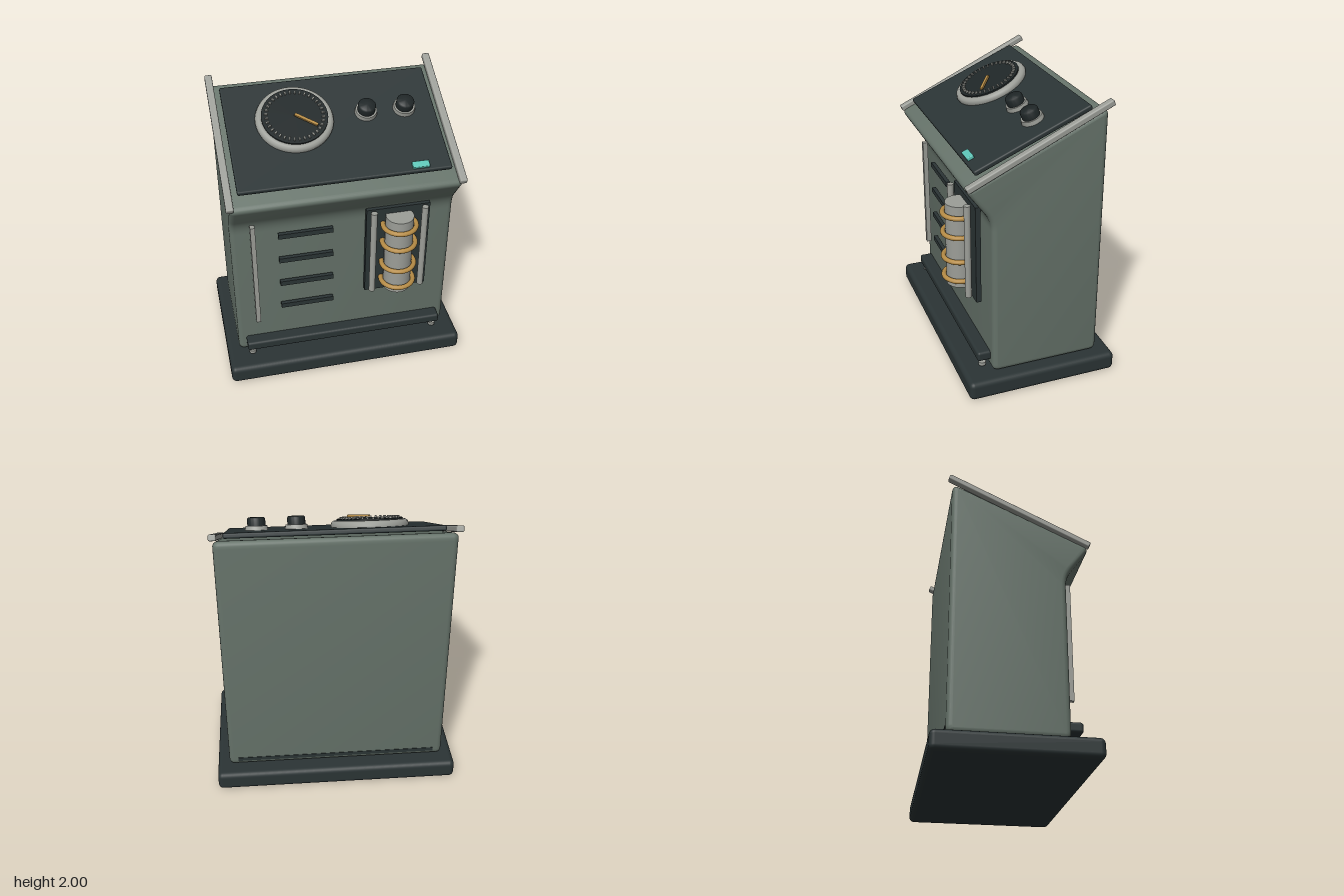
import * as THREE from 'three';
import { toCreasedNormals } from 'three/addons/utils/BufferGeometryUtils.js';
import { RoundedBoxGeometry } from 'three/addons/geometries/RoundedBoxGeometry.js';

const paint = (name, color) => {
  const m = new THREE.MeshStandardMaterial({ color });
  m.name = name;
  return m;
};

// Closed shape from corners [x, y, radius], each corner rounded
function roundedShape(corners) {
  const shape = new THREE.Shape();
  const n = corners.length;
  corners.forEach(([x, y, r], i) => {
    const c = new THREE.Vector2(x, y);
    const toward = (k) => {
      const q = new THREE.Vector2(corners[k][0], corners[k][1]);
      return c.clone().add(q.sub(c).setLength(r));
    };
    const a = toward((i + n - 1) % n);
    const b = toward((i + 1) % n);
    if (i === 0) shape.moveTo(a.x, a.y);
    else shape.lineTo(a.x, a.y);
    shape.quadraticCurveTo(x, y, b.x, b.y);
  });
  shape.closePath();
  return shape;
}

export function createModel() {
  const model = new THREE.Group();
  model.name = 'controlConsole';

  const body = paint('greyGreen', 0x66736a);
  const dark = paint('darkSlate', 0x2b3435);
  const black = paint('nearBlack', 0x1f2627);
  const metal = paint('metal', 0x9c9e98);
  const brass = paint('brass', 0xb58b45);
  const teal = paint('teal', 0x5cc4b6);

  const add = (parent, name, geometry, material, x, y, z) => {
    const mesh = new THREE.Mesh(geometry, material);
    mesh.name = name;
    mesh.position.set(x, y, z);
    parent.add(mesh);
    return mesh;
  };
  const box = (w, h, d, r = 0) =>
    r ? new RoundedBoxGeometry(w, h, d, 3, r) : new THREE.BoxGeometry(w, h, d);
  const cyl = (r, h, top = r) => new THREE.CylinderGeometry(top, r, h, 40);

  // Plinth
  add(model, 'base', box(1.72, 0.135, 1.065, 0.035), dark, 0, 0.0675, -0.0125);

  // Cabinet: side profile (z, y) extruded across the width
  const profile = roundedShape([
    [-0.44, 0.138, 0.05], [0.33, 0.138, 0.05], [0.33, 1.28, 0.07],
    [0.5, 1.515, 0.045], [-0.44, 1.945, 0.06],
  ]);
  const bevel = 0.035;
  const cabinet = new THREE.ExtrudeGeometry(profile, {
    depth: 1.55 - 2 * bevel, curveSegments: 6, bevelEnabled: true,
    bevelSize: bevel, bevelThickness: bevel, bevelOffset: -bevel, bevelSegments: 4,
  });
  cabinet.translate(0, 0, -(1.55 - 2 * bevel) / 2);
  cabinet.rotateY(-Math.PI / 2);
  add(model, 'cabinet', toCreasedNormals(cabinet, 0.7), body, 0, 0, 0);

  // Side rails of the sloping top
  for (const s of [-1, 1]) {
    const rail = add(model, 'topRail', box(0.05, 0.041, 1.063, 0.01), metal, s * 0.77, 1.755, 0.0175);
    rail.rotation.x = 0.44;
  }

  // Sloping control panel; local y points out of the panel
  const panel = new THREE.Group();
  panel.name = 'controlPanel';
  panel.position.set(0, 1.768, 0.035);
  panel.rotation.x = 0.41;
  model.add(panel);
  add(panel, 'panelPlate', box(1.42, 0.035, 0.846, 0.012), dark, 0, 0, 0);

  // Dial with bezel, tick marks and needle
  const dial = new THREE.Group();
  dial.name = 'dial';
  dial.position.set(-0.255, 0, -0.085);
  panel.add(dial);
  const bezel = [
    [0.21, 0.015], [0.258, 0.015], [0.262, 0.03], [0.255, 0.05],
    [0.24, 0.06], [0.222, 0.06], [0.21, 0.05], [0.21, 0.015],
  ].map(([r, y]) => new THREE.Vector2(r, y));
  add(dial, 'dialBezel', toCreasedNormals(new THREE.LatheGeometry(bezel, 56), 0.8), metal, 0, 0, 0);
  add(dial, 'dialFace', cyl(0.222, 0.055), black, 0, 0.0425, 0);
  const ticks = 36;
  for (let i = 0; i < ticks; i++) {
    const a = (i / ticks) * Math.PI * 2;
    const tick = add(dial, 'dialTick', box(0.01, 0.014, 0.022), metal, 0.19 * Math.sin(a), 0.075, 0.19 * Math.cos(a));
    tick.rotation.y = a;
  }
  const needle = add(dial, 'needle', box(0.17, 0.014, 0.02), brass, 0.068, 0.087, 0.052);
  needle.rotation.y = -0.655;

  // Knobs on metal collars
  for (const x of [0.235, 0.5]) {
    add(panel, 'knobCollar', cyl(0.077, 0.03, 0.072), metal, x, 0.031, -0.09);
    const cap = [[0, 0.04], [0.06, 0.04], [0.06, 0.092], [0.052, 0.102], [0, 0.104]]
      .map(([r, y]) => new THREE.Vector2(r, y));
    add(panel, 'knobCap', toCreasedNormals(new THREE.LatheGeometry(cap, 36), 0.9), black, x, 0, -0.09);
  }
  add(panel, 'indicatorLight', box(0.115, 0.024, 0.048, 0.006), teal, 0.5, 0.028, 0.381);

  // Front trim strip and vents
  add(model, 'trimStrip', box(0.032, 0.845, 0.036), metal, -0.626, 0.868, 0.368);
  for (const y of [1.177, 0.97, 0.763, 0.556]) {
    add(model, 'vent', box(0.375, 0.037, 0.028), dark, -0.267, y, 0.358);
  }

  // Coil bay
  const bay = new THREE.Group();
  bay.name = 'coilBay';
  bay.position.set(0.37, 0, 0);
  model.add(bay);
  add(bay, 'bayPlate', box(0.445, 0.71, 0.035), dark, 0, 0.955, 0.365);
  for (const x of [-0.18, 0.175]) {
    add(bay, 'bayPost', cyl(0.022, 0.68), metal, x, 0.972, 0.422);
  }
  add(bay, 'coilTube', cyl(0.096, 0.61), metal, 0, 0.96, 0.42);
  for (const y of [1.19, 1.045, 0.862, 0.715]) {
    const ring = add(bay, 'coilRing', new THREE.TorusGeometry(0.114, 0.017, 12, 40), brass, 0, y, 0.42);
    ring.rotation.x = Math.PI / 2;
  }

  // Kick bar, its little feet and the rear slot
  add(model, 'kickBar', box(1.44, 0.07, 0.1, 0.018), dark, 0, 0.24, 0.37);
  for (const x of [-0.685, 0.68]) {
    add(model, 'barFoot', cyl(0.025, 0.025), metal, x, 0.168, 0.377);
  }
  add(model, 'rearSlot', box(1.42, 0.028, 0.008), dark, 0, 0.19, -0.439);

  return model;
}
